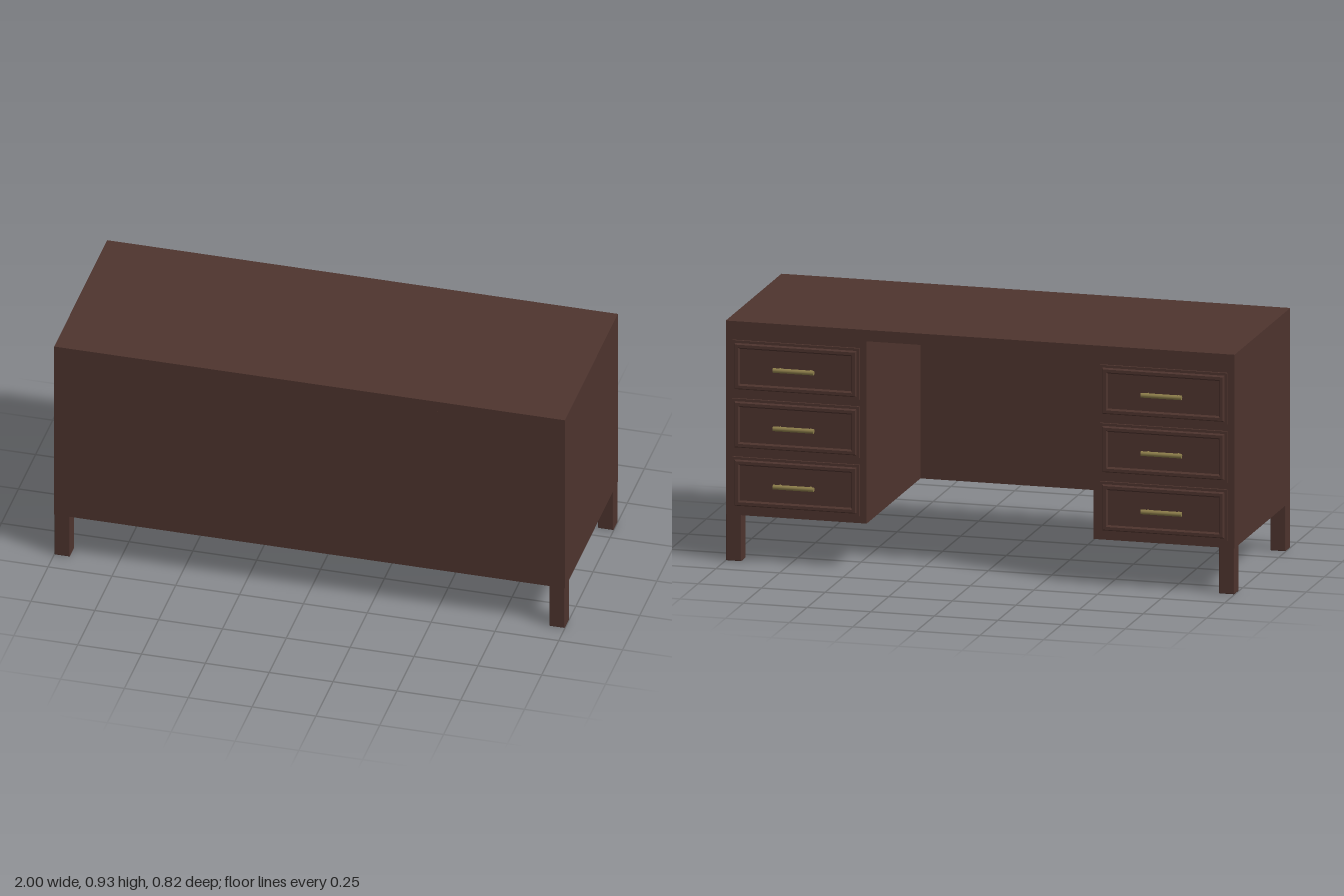
import * as THREE from 'three';
import { RoundedBoxGeometry } from 'three/addons/geometries/RoundedBoxGeometry.js';

const BACK = -0.363, FRONT = 0.411, BOTTOM = 0.18, TOP = 0.934;
const KNEE = 0.446, KNEE_TOP = 0.89, PANEL = 0.026;

const wood = new THREE.MeshStandardMaterial({ color: 0x4e342e });
wood.name = 'dark brown wood';
const brass = new THREE.MeshStandardMaterial({ color: 0x8c7d4a });
brass.name = 'aged brass';

function add(parent, name, geometry, material, x = 0, y = 0, z = 0) {
  const mesh = new THREE.Mesh(geometry, material);
  mesh.name = name;
  mesh.position.set(x, y, z);
  parent.add(mesh);
  return mesh;
}

// Moulded drawer face: rectangular loops stepping inward, facing +z
function drawerFaceGeometry(w, h) {
  const profile = [[0, 0], [0, 0.009], [0.010, 0.009], [0.015, 0.017], [0.026, 0.017], [0.032, 0.009]];
  const loops = profile.map(([inset, z]) => {
    const a = w / 2 - inset, b = h / 2 - inset;
    return [[-a, -b, z], [a, -b, z], [a, b, z], [-a, b, z]];
  });
  const pos = [];
  const quad = (a, b, c, d) => pos.push(...a, ...b, ...c, ...a, ...c, ...d);
  for (let i = 0; i < loops.length - 1; i++) {
    for (let k = 0; k < 4; k++) {
      const n = (k + 1) % 4;
      quad(loops[i][k], loops[i][n], loops[i + 1][n], loops[i + 1][k]);
    }
  }
  quad(...loops[loops.length - 1]);
  const g = new THREE.BufferGeometry();
  g.setAttribute('position', new THREE.Float32BufferAttribute(pos, 3));
  g.computeVertexNormals();
  return g;
}

export function createModel() {
  const desk = new THREE.Group();
  desk.name = 'desk';

  // Two pedestals joined by a thin modesty panel, as one U-shaped plan
  const plan = new THREE.Shape([
    [-1, -FRONT], [1, -FRONT], [1, -BACK], [KNEE, -BACK], [KNEE, -FRONT + PANEL],
    [-KNEE, -FRONT + PANEL], [-KNEE, -BACK], [-1, -BACK],
  ].map(([x, y]) => new THREE.Vector2(x, y)));
  const carcass = new THREE.ExtrudeGeometry(plan, { depth: KNEE_TOP - BOTTOM, bevelEnabled: false });
  carcass.rotateX(-Math.PI / 2);
  add(desk, 'pedestalsAndPanel', carcass, wood, 0, BOTTOM, 0);

  // Desk top
  add(desk, 'deskTop', new THREE.BoxGeometry(2, TOP - KNEE_TOP, FRONT - BACK), wood,
    0, (TOP + KNEE_TOP) / 2, (FRONT + BACK) / 2);

  // Legs with slightly eased edges
  const legSize = 0.062, legHeight = BOTTOM + 0.01;
  const legGeo = new RoundedBoxGeometry(legSize, legHeight, legSize, 2, 0.004);
  for (const sx of [-1, 1]) {
    for (const z of [BACK + legSize / 2, FRONT - legSize / 2]) {
      add(desk, 'leg', legGeo, wood, sx * (1 - legSize / 2), legHeight / 2, z);
    }
  }

  // Drawers: three per pedestal, each with a bar handle
  const faceGeo = drawerFaceGeometry(0.5, 0.2);
  const barGeo = new THREE.CylinderGeometry(0.009, 0.009, 0.16, 20).rotateZ(Math.PI / 2);
  const postGeo = new THREE.CylinderGeometry(0.004, 0.004, 0.032, 12).rotateX(Math.PI / 2);
  for (const sx of [-1, 1]) {
    for (const y of [0.308, 0.535, 0.762]) {
      const drawer = new THREE.Group();
      drawer.name = 'drawer';
      drawer.position.set(sx * 0.723, y, BACK);
      drawer.rotation.y = Math.PI;
      add(drawer, 'drawerFace', faceGeo, wood);
      add(drawer, 'handleBar', barGeo, brass, 0, 0, 0.039);
      for (const px of [-0.06, 0.06]) add(drawer, 'handlePost', postGeo, brass, px, 0, 0.023);
      desk.add(drawer);
    }
  }
  return desk;
}
